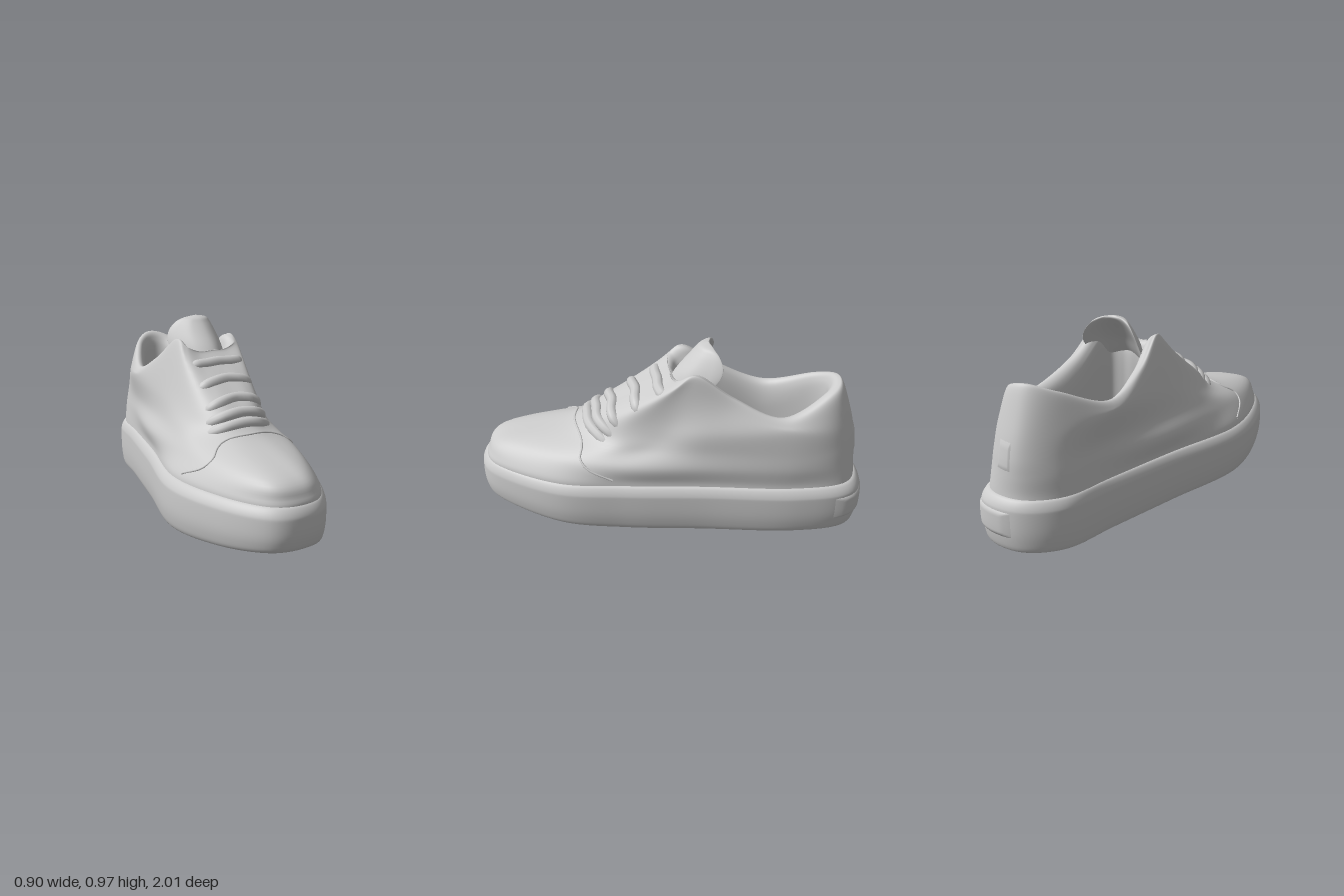
import * as THREE from 'three';

const material = new THREE.MeshStandardMaterial({ color: 0xcccccc, side: THREE.DoubleSide });

// Smooth surface through closed rings of control points: u runs round a ring, t from ring to ring
const spline = (a, b, c, d, f) =>
  b + 0.5 * f * (c - a + f * (2 * a - 5 * b + 4 * c - d + f * (3 * (b - c) + d - a)));

function surfacePoint(rings, u, t) {
  const n = rings[0].length, last = rings.length - 1;
  const col = Math.floor(u), row = Math.min(Math.floor(t), last - 1);
  const axis = (k) => {
    const rows = [-1, 0, 1, 2].map((r) => {
      const ring = rings[Math.max(0, Math.min(last, row + r))];
      const v = [-1, 0, 1, 2].map((c) => ring[(col + c + 2 * n) % n][k]);
      return spline(...v, u - col);
    });
    return spline(...rows, t - row);
  };
  return new THREE.Vector3(axis(0), axis(1), axis(2));
}

function gridMesh(name, rows, cols, closed, pointAt) {
  const positions = [], index = [];
  const stride = closed ? cols : cols + 1;
  for (let i = 0; i <= rows; i++)
    for (let j = 0; j < stride; j++) positions.push(...pointAt(j / cols, i / rows).toArray());
  for (let i = 0; i < rows; i++)
    for (let j = 0; j < cols; j++) {
      const a = i * stride + j, b = i * stride + (j + 1) % stride;
      index.push(a, a + stride, b, a + stride, b + stride, b);
    }
  const geometry = new THREE.BufferGeometry();
  geometry.setAttribute('position', new THREE.Float32BufferAttribute(positions, 3));
  geometry.setIndex(index);
  geometry.computeVertexNormals();
  const mesh = new THREE.Mesh(geometry, material);
  mesh.name = name;
  return mesh;
}

function loft(name, rings, steps = 5) {
  const n = rings[0].length, m = rings.length - 1;
  return gridMesh(name, m * steps, n * 8, true, (u, t) => surfacePoint(rings, u * n, t * m));
}

// Tube whose points are given by a rule over s = -1 to 1
function tube(name, pointAt, radius) {
  const points = Array.from({ length: 17 }, (_, i) => pointAt(i / 8 - 1));
  const curve = new THREE.CatmullRomCurve3(points);
  const mesh = new THREE.Mesh(new THREE.TubeGeometry(curve, 40, radius, 10), material);
  mesh.name = name;
  return mesh;
}

// Plan outlines as [x, z]: toe, right side, heel, left side
const soleOutline = [[-0.14, 0.997], [-0.325, 0.94], [-0.432, 0.67], [-0.445, 0.3], [-0.28, -0.15],
  [-0.13, -0.58], [-0.03, -0.87], [0.17, -1], [0.4, -0.925], [0.435, -0.62], [0.36, -0.15],
  [0.305, 0.25], [0.235, 0.6], [0.03, 0.91]];
const toeOutline = [[-0.16, 0.88], [-0.28, 0.84], [-0.345, 0.6], [-0.35, 0.3], [-0.26, -0.15],
  [-0.1, -0.58], [0, -0.85], [0.17, -0.965], [0.36, -0.88], [0.405, -0.62], [0.335, -0.15],
  [0.27, 0.25], [0.16, 0.55], [-0.04, 0.83]];
const vampOutline = [[-0.1, 0.5], [-0.2, 0.46], [-0.265, 0.32], [-0.28, 0.15], [-0.22, -0.15],
  [-0.09, -0.58], [0.01, -0.84], [0.17, -0.96], [0.35, -0.87], [0.4, -0.62], [0.32, -0.15],
  [0.24, 0.1], [0.18, 0.3], [0.02, 0.46]];
const laceOutline = [[-0.04, 0.325], [-0.14, 0.315], [-0.205, 0.23], [-0.22, 0.05],
  [-0.195, -0.18], [-0.11, -0.58], [0.02, -0.82], [0.17, -0.935], [0.33, -0.855], [0.39, -0.62],
  [0.315, -0.18], [0.225, 0.03], [0.155, 0.23], [0.06, 0.315]];
// Outer edge of the collar as [x, y, z]
const collar = [[0.04, 0.775, 0.02], [-0.05, 0.775, 0.02], [-0.125, 0.8, 0], [-0.14, 0.832, -0.09],
  [-0.148, 0.715, -0.28], [-0.115, 0.625, -0.54], [0.035, 0.72, -0.79], [0.175, 0.765, -0.875],
  [0.305, 0.73, -0.815], [0.365, 0.625, -0.56], [0.285, 0.715, -0.3], [0.24, 0.832, -0.11],
  [0.215, 0.8, -0.01], [0.125, 0.775, 0.02]];

const centre = (z) => 0.01 - 0.155 * z;
const level = (outline, y) => outline.map(([x, z]) => [x, y, z]);

// Sole outline moved inwards, with the bottom lifted towards the toe
const soleRing = (inset, y) => soleOutline.map(([x, z]) => {
  const newZ = z * (1 - inset);
  const lift = 0.06 * Math.max(0, z) ** 2 * Math.max(0, 1 - y / 0.2);
  return [centre(newZ) + (x - centre(z)) * (1 - inset / 0.35), y + lift, newZ];
});

// Collar ring moved inwards, with a height rule
const innerRing = (inset, height) => collar.map(([x, y, z]) => {
  const newZ = -0.42 + (z + 0.42) * (1 - inset / 0.45);
  return [centre(newZ) + (x - centre(z)) * (1 - inset / 0.2), height(y), newZ];
});

export function createModel() {
  const shoe = new THREE.Group();
  shoe.name = 'shoe';

  // Sole with a bevelled upper edge
  const soleRings = [[0.35, 0], [0.15, 0.002], [0.04, 0.004], [0.018, 0.012], [0.006, 0.06],
    [0, 0.12], [0, 0.2], [0.003, 0.226], [0.016, 0.252], [0.034, 0.268],
    [0.07, 0.272]].map(([d, y]) => soleRing(d, y));
  shoe.add(loft('sole', soleRings, 4));

  // Upper: outer wall, padded collar, lining and footbed
  const upperRings = [soleRing(0.032, 0.24), soleRing(0.037, 0.29), level(toeOutline, 0.375),
    level(vampOutline, 0.465), level(laceOutline, 0.585), collar,
    innerRing(0.028, (y) => y + 0.026), innerRing(0.06, (y) => y - 0.005),
    innerRing(0.075, (y) => y - 0.1), innerRing(0.07, () => 0.36), innerRing(0.08, () => 0.28),
    innerRing(0.2, () => 0.27)];
  shoe.add(loft('upper', upperRings, 7));

  // Fine raised seam behind the toe cap
  shoe.add(tube('toeSeam',
    (s) => surfacePoint(upperRings, s * 2.8, 3.05 - 1.9 * Math.abs(s) ** 3), 0.006));

  // Tongue: a pad curling backwards at its sides, with a round tip
  const tongueRings = [[0.68, 0.03, 0.12], [0.75, -0.02, 0.145], [0.82, -0.065, 0.157],
    [0.88, -0.115, 0.143], [0.93, -0.16, 0.108], [0.955, -0.183, 0.068], [0.967, -0.2, 0]]
    .map(([y, z, w]) => Array.from({ length: 12 }, (_, i) => {
      const a = i / 12 * Math.PI * 2, side = Math.sin(a);
      const thick = 0.03 * Math.min(1, w / 0.08);
      return [0.065 - w * side, y, z - 0.16 * (side * w / 0.155) ** 2 + thick * Math.cos(a)];
    }));
  shoe.add(loft('tongue', tongueRings));

  // Laces lying on the throat, their ends sinking into the upper
  const laces = new THREE.Group();
  laces.name = 'laces';
  for (let i = 0; i < 5; i++)
    laces.add(tube('lace', (s) => {
      const p = surfacePoint(upperRings, 2 * s, 3.45 + 0.35 * i - (0.45 - 0.1 * i) * s * s);
      p.x -= 0.2 * (p.x - centre(p.z)) * s ** 4;
      p.y -= 0.006 + 0.035 * s ** 4;
      return p;
    }, 0.03));
  shoe.add(laces);

  // Slightly raised patches on the heel
  const patch = (name, rings, u0, u1, t0, t1, height) => gridMesh(name, 16, 32, false, (u, t) => {
    const p = surfacePoint(rings, u0 + (u1 - u0) * u, t0 + (t1 - t0) * t);
    const edge = Math.min(1, 6 * Math.min(u, 1 - u, t, 1 - t));
    const out = new THREE.Vector3(p.x - 0.19, 0, p.z + 0.75).normalize();
    return p.addScaledVector(out, height * edge - 0.002);
  });
  shoe.add(patch('heelLabel', soleRings, 7.05, 8.45, 4.3, 6.2, 0.01));
  shoe.add(patch('heelTab', upperRings, 7.15, 7.6, 2.2, 3.7, 0.006));

  return shoe;
}
